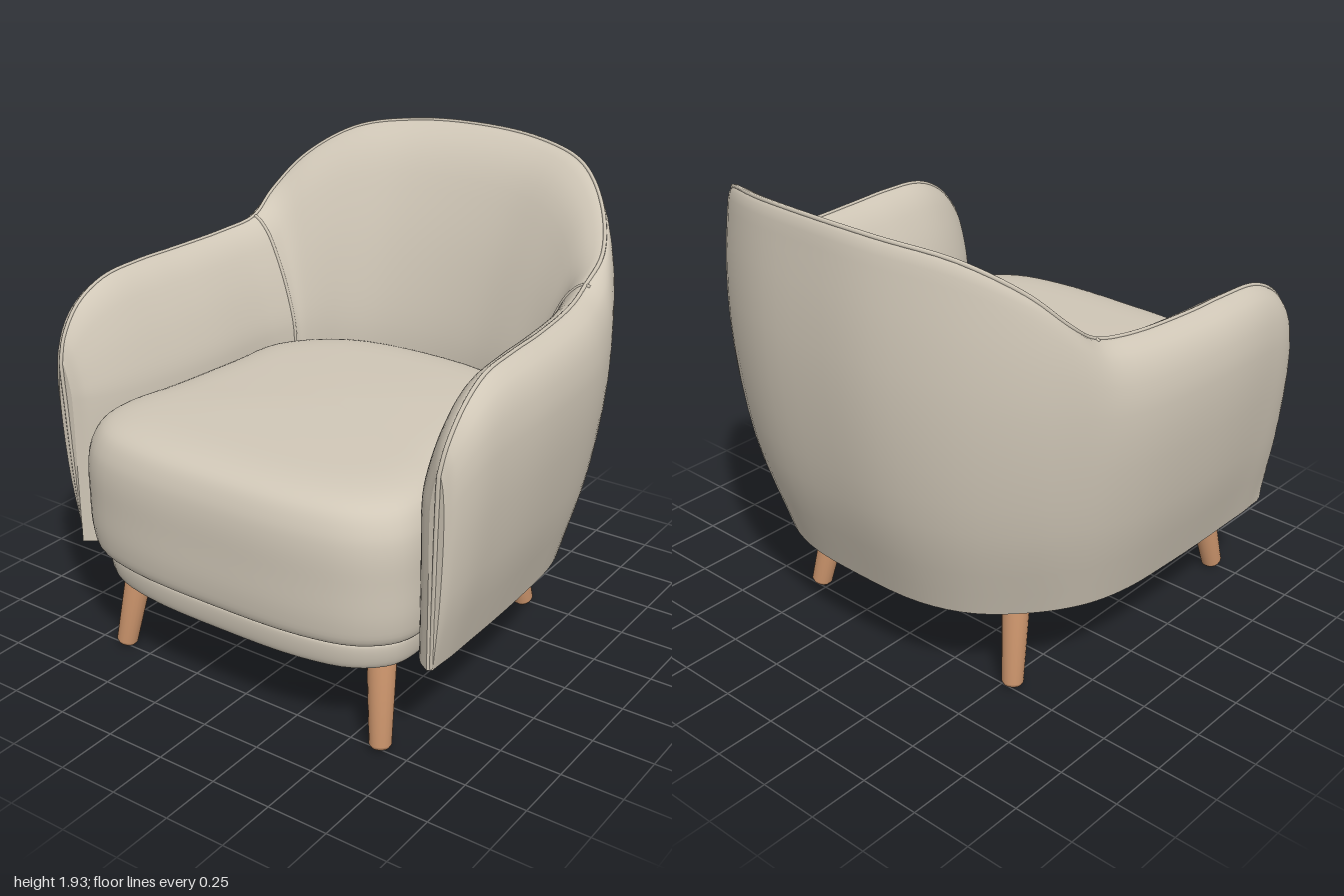
import * as THREE from 'three';
import { mergeVertices } from 'three/addons/utils/BufferGeometryUtils.js';

const V = (x, y, z) => new THREE.Vector3(x, y, z);
const lerp = THREE.MathUtils.lerp;

// Smooth surface through rows of points
function gridSurface(rows) {
  const pos = [], idx = [], n = rows[0].length;
  rows.forEach(r => r.forEach(p => pos.push(p.x, p.y, p.z)));
  for (let i = 0; i < rows.length - 1; i++) {
    for (let j = 0; j < n - 1; j++) {
      const a = i * n + j, b = a + 1, c = a + n, d = c + 1;
      idx.push(a, b, c, b, d, c);
    }
  }
  let g = new THREE.BufferGeometry();
  g.setAttribute('position', new THREE.Float32BufferAttribute(pos, 3));
  g.setIndex(idx);
  g = mergeVertices(g, 1e-5);
  g.computeVertexNormals();
  return g;
}

const spline = (pts, n, closed = false) =>
  new THREE.CatmullRomCurve3(pts, closed).getPoints(n);

// Shell stations from back centre to arm front:
// widest outer x, z, y | ridge x, z, y | inner x, z | bottom x, z
const STATIONS = [
  [0, -.965, 1.35, 0, -.92, 1.925, 0, -.53, 0, -.76],
  [.3, -.945, 1.35, .3, -.89, 1.912, .22, -.51, .3, -.74],
  [.57, -.835, 1.33, .55, -.79, 1.868, .4, -.46, .5, -.66],
  [.78, -.65, 1.3, .72, -.64, 1.75, .52, -.42, .67, -.5],
  [.87, -.49, 1.28, .8, -.5, 1.61, .57, -.39, .75, -.38],
  [.92, -.37, 1.26, .8, -.37, 1.525, .58, -.36, .79, -.29],
  [.965, -.2, 1.25, .83, -.2, 1.497, .61, -.2, .825, -.14],
  [.995, .1, 1.25, .86, .1, 1.487, .62, .1, .84, .1],
  [1, .3, 1.25, .87, .3, 1.487, .64, .3, .845, .3],
  [.985, .5, 1.23, .875, .5, 1.47, .68, .5, .845, .5],
  [.965, .64, 1.19, .88, .64, 1.4, .73, .64, .845, .62],
  [.925, .73, 1.1, .875, .73, 1.29, .78, .72, .84, .7],
  [.89, .76, 1.0, .868, .762, 1.2, .83, .755, .84, .73],
];

// Cross-section: up the outside, over the ridge, down the inside
function section([ox, oz, oy, rx, rz, ry, ix, iz, bx, bz], side) {
  const outer = t => [lerp(bx, ox, t), lerp(bz, oz, t)];
  const cap = (t, u) => V(side * lerp(ox, rx, t), lerp(oy, ry, u), lerp(oz, rz, t));
  const inner = (t, u) => V(side * lerp(rx, ix, t), lerp(ry, 1.05, u), lerp(rz, iz, t));
  const [mx, mz] = outer(.68);
  return [
    V(side * bx, .41, bz), V(side * mx, lerp(.41, oy, .46), mz), V(side * ox, oy, oz),
    cap(.35, .75), V(side * rx, ry, rz), inner(.3, .1), inner(.6, .36), inner(.86, .7),
    inner(1, 1), V(side * ix, .75, iz), V(side * ix, .42, iz),
  ];
}

const STEP = 4, RING = 40, RIDGE = 16;

function shellRows() {
  const ctrl = [
    ...STATIONS.slice(1).reverse().map(s => section(s, -1)),
    ...STATIONS.map(s => section(s, 1)),
  ];
  const cols = ctrl[0].map((_, j) => spline(ctrl.map(r => r[j]), (ctrl.length - 1) * STEP));
  return cols[0].map((_, i) => spline(cols.map(c => c[i]), RING));
}

// Plan outline of the seat, front centre round to the left, mirrored
const half = [[.4, .94], [.62, .88], [.735, .77], [.76, .62], [.72, .4], [.68, 0], [.65, -.3], [.42, -.53]];
const outline = spline([
  V(0, 0, .957), ...half.map(([x, z]) => V(x, 0, z)), V(0, 0, -.6),
  ...half.slice().reverse().map(([x, z]) => V(-x, 0, z)),
], 72, true);

// Stack the outline at the given [scale, height] levels
function stacked(profile) {
  const levels = spline(profile.map(([s, y]) => V(s, y, 0)), profile.length * 4);
  return gridSurface(levels.map(l =>
    outline.map(p => V(p.x * l.x, l.y, .2 + (p.z - .2) * l.x))));
}

export function createModel() {
  const fabric = new THREE.MeshStandardMaterial({ color: 0xd0c7b7 });
  fabric.name = 'beige fabric';
  const wood = new THREE.MeshStandardMaterial({ color: 0xc48f68 });
  wood.name = 'light wood';

  const model = new THREE.Group();
  model.name = 'armchair';
  const add = (name, geometry, material, parent = model) => {
    const m = new THREE.Mesh(geometry, material);
    m.name = name;
    parent.add(m);
    return m;
  };

  // Wraparound back and arms
  const shell = new THREE.Group();
  shell.name = 'backAndArms';
  model.add(shell);
  const rows = shellRows();
  const last = rows.length - 1;
  add('shellSurface', gridSurface(rows), fabric, shell);
  add('shellUnderside', gridSurface(rows.map(r => [r[RING], r[0]])), fabric, shell);
  [0, last].forEach(e => {
    const pairs = [];
    for (let k = 0; k <= RING / 2; k++) {
      const pair = [rows[e][k], rows[e][RING - k]];
      pairs.push(e ? pair.reverse() : pair);
    }
    add('armFront', gridSurface(pairs), fabric, shell);
  });

  // Piping along the ridge and down the arm fronts
  const front = s => [V(s * .86, 1.0, .76), V(s * .85, .7, .75), V(s * .835, .42, .735)];
  const pipe = [...front(-1).reverse(), ...rows.map(r => r[RIDGE]), ...front(1)];
  add('piping', new THREE.TubeGeometry(new THREE.CatmullRomCurve3(pipe), 200, .008, 6), fabric, shell);

  // Seams where the arms meet the back
  [7, 17].forEach(k => {
    const path = rows[k * STEP].slice(RIDGE - 1, 34);
    add('armSeam', new THREE.TubeGeometry(new THREE.CatmullRomCurve3(path), 40, .007, 6), fabric, shell);
  });

  // Seat
  add('seatCushion', stacked([
    [0, .48], [.5, .48], [.94, .48], [.98, .5], [1, .58], [1.003, .72], [1, .85], [.98, .93],
    [.93, 1.0], [.82, 1.04], [.5, 1.06], [0, 1.07],
  ]), fabric);
  add('seatBase', stacked([
    [0, .35], [.5, .35], [.88, .355], [.91, .365], [.925, .39], [.935, .45], [.93, .47], [.88, .485], [0, .485],
  ]), fabric);

  // Splayed legs
  const leg = (name, foot, top) => {
    const dir = top.clone().sub(foot);
    const profile = [[0, 0], [.033, 0], [.043, .014], [.058, dir.length()], [0, dir.length()]];
    const m = add(name, new THREE.LatheGeometry(profile.map(p => new THREE.Vector2(...p)), 20), wood);
    m.position.copy(foot);
    m.quaternion.setFromUnitVectors(V(0, 1, 0), dir.normalize());
  };
  [-1, 1].forEach(s => {
    leg('frontLeg', V(s * .63, .008, .745), V(s * .585, .39, .67));
    leg('backLeg', V(s * .54, .008, -.485), V(s * .485, .42, -.4));
  });

  return model;
}
